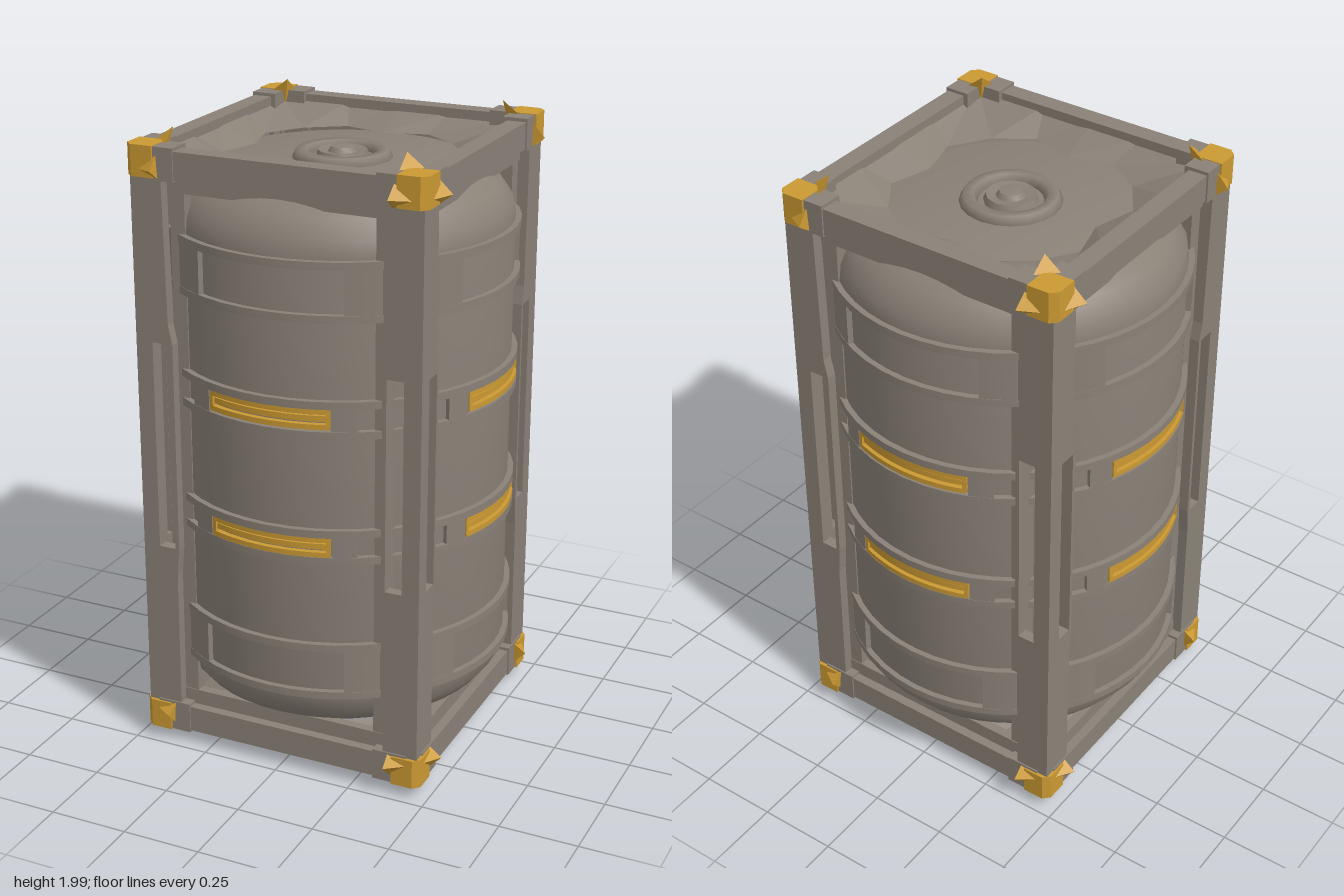
import * as THREE from 'three';
import { toCreasedNormals } from 'three/addons/utils/BufferGeometryUtils.js';
import { ConvexGeometry } from 'three/addons/geometries/ConvexGeometry.js';

const steel = new THREE.MeshStandardMaterial({ color: 0x8a8177, side: THREE.DoubleSide });
steel.name = 'warm grey steel';
const gold = new THREE.MeshStandardMaterial({ color: 0xcb9932 });
gold.name = 'gold';

const MID = 1.005; // half height, the frame mirrors about it
const V = (x, y, z) => new THREE.Vector3(x, y, z);

function add(parent, name, geometry, material = steel) {
  const mesh = new THREE.Mesh(geometry, material);
  mesh.name = name;
  parent.add(mesh);
  return mesh;
}

function box(parent, name, x0, x1, y0, y1, z0, z1) {
  const g = new THREE.BoxGeometry(x1 - x0, y1 - y0, z1 - z0);
  g.translate((x0 + x1) / 2, (y0 + y1) / 2, (z0 + z1) / 2);
  return add(parent, name, g);
}

function turned(points, segments = 48) {
  const g = new THREE.LatheGeometry(points.map(p => new THREE.Vector2(...p)), segments);
  return toCreasedNormals(g, 0.55);
}

// Curved block hugging the barrel, between two angles measured from +z
function sector(rIn, rOut, a0, a1, y0, y1) {
  const s = new THREE.Shape();
  s.absarc(0, 0, rOut, a0 - Math.PI / 2, a1 - Math.PI / 2, false);
  s.absarc(0, 0, rIn, a1 - Math.PI / 2, a0 - Math.PI / 2, true);
  const g = new THREE.ExtrudeGeometry(s, { depth: y1 - y0, bevelEnabled: false, curveSegments: 10 });
  g.rotateX(-Math.PI / 2).translate(0, y0, 0);
  return toCreasedNormals(g, 0.55);
}

// Post face on the +x or -x edge of a side: widened in the middle, with a long slot
function postPlate(sx) {
  const pts = list => list.map(([x, y]) => new THREE.Vector2(sx * x, y));
  const s = new THREE.Shape(pts([
    [0.352, 0.07], [0.465, 0.07], [0.465, 1.94], [0.365, 1.94],
    [0.355, 1.42], [0.342, 1.36], [0.342, 0.69], [0.35, 0.6],
  ]));
  s.holes.push(new THREE.Path(pts([[0.355, 0.69], [0.355, 1.36], [0.41, 1.36], [0.41, 0.69]])));
  const g = new THREE.ExtrudeGeometry(s, { depth: 0.035, bevelEnabled: false });
  return g.translate(0, 0, 0.43);
}

// Sloping collar from the square frame down to the barrel end
function collar(end) {
  const n = 16, pos = [];
  const pt = (i, inner) => {
    const a = (i / n) * Math.PI * 2, c = Math.cos(a), s = Math.sin(a);
    const r = inner ? (i % 4 === 0 ? 0.295 : 0.36) : 0.43 / Math.max(Math.abs(c), Math.abs(s));
    return [r * c, MID + end * (inner ? 0.872 : 0.93), r * s];
  };
  for (let i = 0; i < n; i++) {
    const a = pt(i, 0), b = pt(i + 1, 0), c = pt(i + 1, 1), d = pt(i, 1);
    const quad = end > 0 ? [a, d, b, b, d, c] : [a, b, d, b, c, d];
    quad.forEach(p => pos.push(...p));
  }
  const g = new THREE.BufferGeometry();
  g.setAttribute('position', new THREE.Float32BufferAttribute(pos, 3));
  g.computeVertexNormals();
  return g;
}

// Gold corner block with three pointed fins; sx, sy, sz choose the corner
function goldCorner(parent, sx, sy, sz) {
  const P = (x, y, z) => V(sx * x, MID + sy * y, sz * z);
  const corner = new THREE.Group();
  corner.name = 'goldCorner';
  parent.add(corner);
  const block = [];
  for (const y of [0.862, 0.957])
    for (const [x, z] of [[0.385, 0.385], [0.476, 0.385], [0.476, 0.455], [0.455, 0.476], [0.385, 0.476]])
      block.push(P(x, y, z));
  add(corner, 'cornerBlock', new ConvexGeometry(block), gold);
  const fins = [
    [P(0.51, 0.89, 0.372), P(0.47, 0.86, 0.37), P(0.47, 0.93, 0.375), P(0.47, 0.885, 0.44), P(0.44, 0.89, 0.39)],
    [P(0.372, 0.89, 0.51), P(0.37, 0.86, 0.47), P(0.375, 0.93, 0.47), P(0.44, 0.885, 0.47), P(0.39, 0.89, 0.44)],
    [P(0.37, 0.995, 0.37), P(0.37, 0.95, 0.43), P(0.43, 0.95, 0.37), P(0.385, 0.92, 0.385)],
  ];
  fins.forEach(f => add(corner, 'cornerFin', new ConvexGeometry(f), gold));
}

export function createModel() {
  const model = new THREE.Group();
  model.name = 'framedTank';

  // Barrel
  add(model, 'barrel', turned([
    [0, 0.15], [0.31, 0.15], [0.41, 0.17], [0.475, 0.21], [0.515, 0.26], [0.526, 0.32],
    [0.526, 1.7], [0.518, 1.75], [0.48, 1.805], [0.42, 1.85], [0.35, 1.868], [0, 1.868],
  ]));
  const cap = add(model, 'capRing', new THREE.TorusGeometry(0.125, 0.028, 6, 20));
  cap.rotation.x = Math.PI / 2;
  cap.position.y = 1.868;
  add(model, 'capKnob', turned([[0.085, 1.86], [0.075, 1.89], [0.045, 1.885], [0.035, 1.9], [0, 1.905]], 12));

  // Thin hoops
  for (const y of [0.325, 0.485, 0.775, 0.862, 1.175, 1.268, 1.528, 1.685]) {
    const h = 0.012;
    add(model, 'hoop', turned([[0.51, y - h], [0.544, y - h], [0.544, y + h], [0.51, y + h]]));
  }

  // Everything that repeats on the four sides
  for (let k = 0; k < 4; k++) {
    const side = new THREE.Group();
    side.name = 'side';
    side.rotation.y = (k * Math.PI) / 2;
    model.add(side);

    // Light strips: gold rails around a thin inner bar, in a grey housing
    for (const y of [0.819, 1.225]) {
      add(side, 'lightBar', sector(0.51, 0.535, -0.35, 0.35, y - 0.009, y + 0.009), gold);
      for (const s of [-1, 1]) {
        const yc = y + s * 0.024;
        add(side, 'lightRail', sector(0.51, 0.542, -0.37, 0.37, yc - 0.008, yc + 0.008), gold);
        add(side, 'lightEnd', sector(0.51, 0.542, s * 0.36 - 0.012, s * 0.36 + 0.012, y - 0.024, y + 0.024), gold);
        add(side, 'housingEnd', sector(0.51, 0.542, s * 0.45 - 0.07, s * 0.45 + 0.07, y - 0.04, y + 0.04));
      }
    }

    // Clamp pads between the paired hoops, behind each post
    for (const [y0, y1] of [[0.337, 0.473], [1.54, 1.673]])
      add(side, 'clampPad', sector(0.51, 0.542, Math.PI / 4 - 0.34, Math.PI / 4 + 0.34, y0, y1));

    // Posts: a slotted face at either edge, with a flange closing the gap to the barrel
    for (const s of [-1, 1]) {
      add(side, 'postFace', postPlate(s));
      const x = s * 0.33;
      box(side, 'postFlange', x - 0.024, x + 0.024, 0.12, 1.88, 0.39, 0.432);
    }
    box(side, 'postCore', 0.412, 0.435, 0.08, 1.93, 0.412, 0.435);

    // End beams, their thicker joints and the lip closing the gap to the barrel
    for (const e of [-1, 1]) {
      const c = MID + e * 0.905;
      box(side, 'endBeam', -0.4, 0.4, c - 0.045, c + 0.04, 0.405, 0.465);
      const lip = MID + e * 0.84;
      box(side, 'beamLip', -0.36, 0.36, lip - 0.025, lip + 0.025, 0.405, 0.435);
      for (const s of [-1, 1])
        box(side, 'beamJoint', s * 0.375 - 0.055, s * 0.375 + 0.055, c - 0.05, c + 0.05, 0.39, 0.47);
    }
  }

  for (const e of [-1, 1]) {
    add(model, 'endCollar', collar(e));
    for (const sx of [-1, 1]) for (const sz of [-1, 1]) goldCorner(model, sx, e, sz);
  }
  return model;
}
